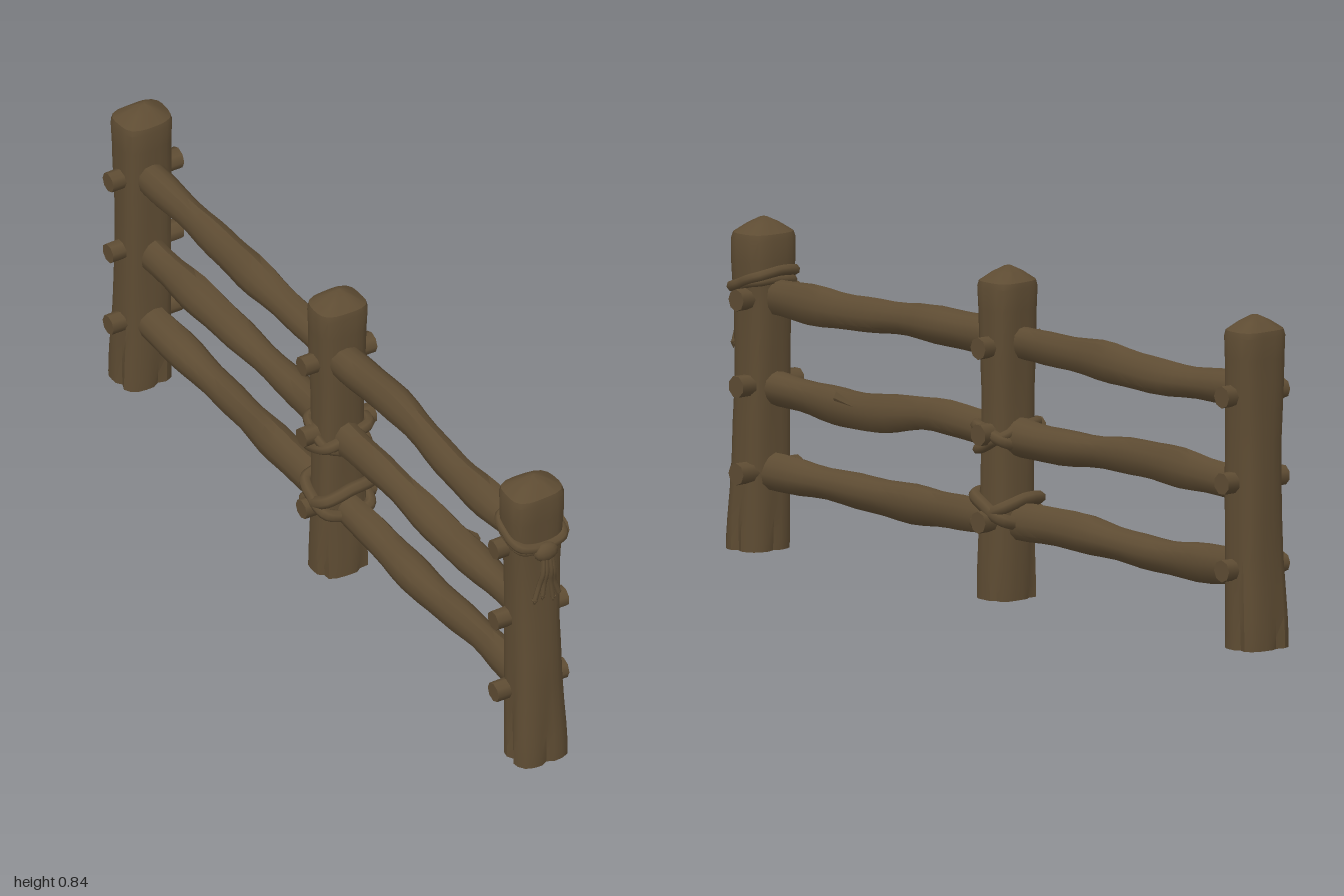
import * as THREE from 'three';
import { toCreasedNormals } from 'three/addons/utils/BufferGeometryUtils.js';

const wood = new THREE.MeshStandardMaterial({ color: 0x5e4c33 });
wood.name = 'brown wood';

// Smooth interpolation through [position, value, value...] rows
function sample(rows, t, k) {
  let i = 0;
  while (i < rows.length - 2 && t > rows[i + 1][0]) i++;
  const f = THREE.MathUtils.clamp((t - rows[i][0]) / (rows[i + 1][0] - rows[i][0]), 0, 1);
  const s = f * f * (3 - 2 * f);
  return rows[i][k] * (1 - s) + rows[i + 1][k] * s;
}

// Closed skin over rings of points, with fan caps
function loft(rings, crease = 0.6) {
  const n = rings[0].length, pos = rings.flat(2), idx = [];
  for (let i = 0; i < rings.length - 1; i++) {
    for (let j = 0; j < n; j++) {
      const k = (j + 1) % n, a = i * n, b = a + n;
      idx.push(a + j, b + j, a + k, a + k, b + j, b + k);
    }
  }
  for (const end of [0, rings.length - 1]) {
    const c = [0, 1, 2].map((d) => rings[end].reduce((s, p) => s + p[d], 0) / n);
    const ci = pos.length / 3;
    pos.push(...c);
    for (let j = 0; j < n; j++) {
      const a = end * n + j, b = end * n + (j + 1) % n;
      if (end === 0) idx.push(ci, a, b); else idx.push(ci, b, a);
    }
  }
  const g = new THREE.BufferGeometry();
  g.setAttribute('position', new THREE.Float32BufferAttribute(pos, 3));
  g.setIndex(idx);
  return toCreasedNormals(g, crease);
}

function add(parent, name, geometry) {
  const mesh = new THREE.Mesh(geometry, wood);
  mesh.name = name;
  parent.add(mesh);
  return mesh;
}

// Hewn post: rounded square section, grooved foot, pointed top.
// rows: height, centre z, half width x, half depth z
function post(rows, seed) {
  const heights = [0, 0.03, 0.08, 0.15, 0.23, 0.32, 0.42, 0.52, 0.6, 0.67, 0.73, 0.785, 0.8, 0.822, 0.836];
  const shrink = { 0.8: 0.94, 0.822: 0.5, 0.836: 0.12 };
  const n = 24;
  return loft(heights.map((y) => {
    const s = shrink[y] ?? 1, ring = [];
    for (let j = 0; j < n; j++) {
      const a = (j / n) * Math.PI * 2, c = Math.cos(a), d = Math.sin(a);
      const r = Math.pow(Math.abs(c) ** 3.4 + Math.abs(d) ** 3.4, -1 / 3.4);
      const groove = (j + seed) % 6 === 0 ? 0.14 * Math.max(0, 1 - y / 0.24) : 0;
      const rough = 1 + 0.02 * Math.sin(a * 3 + y * 9 + seed * 2) - groove;
      ring.push([
        c * r * rough * s * sample(rows, y, 2),
        y,
        sample(rows, y, 1) + d * r * rough * s * sample(rows, y, 3),
      ]);
    }
    return ring;
  }));
}

// Wavy rail running from front to back. path: z, y, x
function rail(path, seed) {
  const rings = [], n = 12, steps = 36;
  for (let i = 0; i <= steps; i++) {
    const z = 0.92 - (i / steps) * 1.84, ring = [];
    const thick = 0.046 + 0.004 * Math.sin(z * 11 + seed) + 0.002 * Math.sin(z * 29 + seed);
    for (let j = 0; j < n; j++) {
      const a = (j / n) * Math.PI * 2;
      const r = thick * (1 + 0.05 * Math.sin(a * 3 + z * 6 + seed));
      ring.push([
        sample(path, z, 2) + Math.cos(a) * r * 0.88,
        sample(path, z, 1) + Math.sin(a) * r,
        z,
      ]);
    }
    rings.push(ring);
  }
  return loft(rings, 0.7);
}

// Rope loop hugging a post; tilts raise it along x and z
function ropeLoop(cy, cz, rx, rz, tiltX, tiltZ, radius) {
  const pts = [];
  for (let i = 0; i < 16; i++) {
    const a = (i / 16) * Math.PI * 2, c = Math.cos(a), d = Math.sin(a);
    const r = Math.pow(c ** 4 + d ** 4, -0.25);
    pts.push(new THREE.Vector3(c * r * rx, cy + c * tiltX + d * tiltZ, cz + d * r * rz));
  }
  return new THREE.TubeGeometry(new THREE.CatmullRomCurve3(pts, true), 48, radius, 7, true);
}

export function createModel() {
  const model = new THREE.Group();
  model.name = 'fence';

  // Posts
  add(model, 'frontPost', post([
    [0, 0.922, 0.074, 0.063], [0.25, 0.914, 0.067, 0.058], [0.45, 0.906, 0.064, 0.055],
    [0.62, 0.903, 0.067, 0.056], [0.72, 0.902, 0.076, 0.062], [0.84, 0.903, 0.076, 0.062],
  ], 0));
  add(model, 'middlePost', post([
    [0, -0.003, 0.07, 0.057], [0.3, -0.006, 0.064, 0.05], [0.5, -0.006, 0.063, 0.05],
    [0.7, -0.007, 0.068, 0.056], [0.84, -0.008, 0.072, 0.06],
  ], 2));
  add(model, 'backPost', post([
    [0, -0.932, 0.073, 0.064], [0.3, -0.924, 0.067, 0.056], [0.5, -0.922, 0.066, 0.055],
    [0.7, -0.924, 0.07, 0.057], [0.84, -0.925, 0.074, 0.059],
  ], 1));

  // Rails
  const paths = [
    [[-0.93, 0.642, -0.006], [-0.6, 0.632, 0.006], [-0.3, 0.645, -0.004], [0, 0.648, -0.008],
      [0.28, 0.652, 0.006], [0.6, 0.636, -0.003], [0.93, 0.642, 0]],
    [[-0.93, 0.402, 0.004], [-0.5, 0.418, -0.006], [-0.15, 0.406, 0.005], [0, 0.41, 0],
      [0.25, 0.422, -0.004], [0.52, 0.397, 0.005], [0.93, 0.412, 0]],
    [[-0.93, 0.195, 0], [-0.6, 0.184, 0.006], [-0.2, 0.198, -0.005], [0.1, 0.192, 0.004],
      [0.4, 0.188, -0.004], [0.7, 0.196, 0.004], [0.93, 0.198, 0]],
  ];
  ['topRail', 'middleRail', 'bottomRail'].forEach((name, i) => add(model, name, rail(paths[i], i * 2)));

  // Pegs through every joint
  const pegGeometry = toCreasedNormals(new THREE.CylinderGeometry(0.026, 0.028, 0.205, 8), 0.8);
  for (const z of [0.891, -0.01, -0.917]) {
    [0.638, 0.42, 0.2].forEach((y, i) => {
      const peg = add(model, 'peg', pegGeometry);
      peg.position.set(-0.001, y, z);
      peg.rotation.set(i * 0.4, 0, Math.PI / 2);
    });
  }

  // Lashings on the middle post
  add(model, 'middleLashing', ropeLoop(0.405, -0.006, 0.07, 0.058, 0.022, 0.02, 0.016));
  add(model, 'middleLashing', ropeLoop(0.408, -0.006, 0.068, 0.056, -0.018, -0.03, 0.013));
  add(model, 'bottomLashing', ropeLoop(0.225, -0.006, 0.074, 0.06, 0.012, 0.035, 0.017));
  add(model, 'bottomLashing', ropeLoop(0.22, -0.006, 0.074, 0.06, -0.01, -0.035, 0.016));

  // Rope, knot and frayed ends on the front post
  add(model, 'frontRope', ropeLoop(0.682, 0.903, 0.071, 0.06, -0.003, -0.026, 0.014));
  add(model, 'frontRope', ropeLoop(0.668, 0.903, 0.066, 0.057, 0.004, -0.018, 0.012));
  const knot = add(model, 'knot', new THREE.SphereGeometry(1, 12, 8));
  knot.scale.set(0.034, 0.026, 0.02);
  knot.position.set(0, 0.645, 0.972);
  for (const [x, y] of [[-0.036, 0.506], [-0.013, 0.512], [0.018, 0.498], [0.034, 0.51]]) {
    const curve = new THREE.CatmullRomCurve3([
      new THREE.Vector3(x * 0.3, 0.645, 0.978),
      new THREE.Vector3(x * 0.45, 0.59, 0.985),
      new THREE.Vector3(x * 0.6, 0.555, 0.977),
      new THREE.Vector3(x, y, 0.976),
    ]);
    add(model, 'ropeEnd', new THREE.TubeGeometry(curve, 10, 0.007, 6));
    const tip = add(model, 'ropeTip', new THREE.ConeGeometry(0.008, 0.018, 6));
    tip.position.set(x, y - 0.003, 0.976);
    tip.rotation.x = Math.PI;
  }

  // Splinter lifting off the middle rail
  const splinter = add(model, 'splinter', toCreasedNormals(new THREE.ConeGeometry(0.016, 0.12, 4), 0.4));
  splinter.scale.x = 0.4;
  splinter.position.set(0.041, 0.415, 0.53);
  splinter.rotation.set(-Math.PI / 2 - 0.2, 0, 0);

  return model;
}
